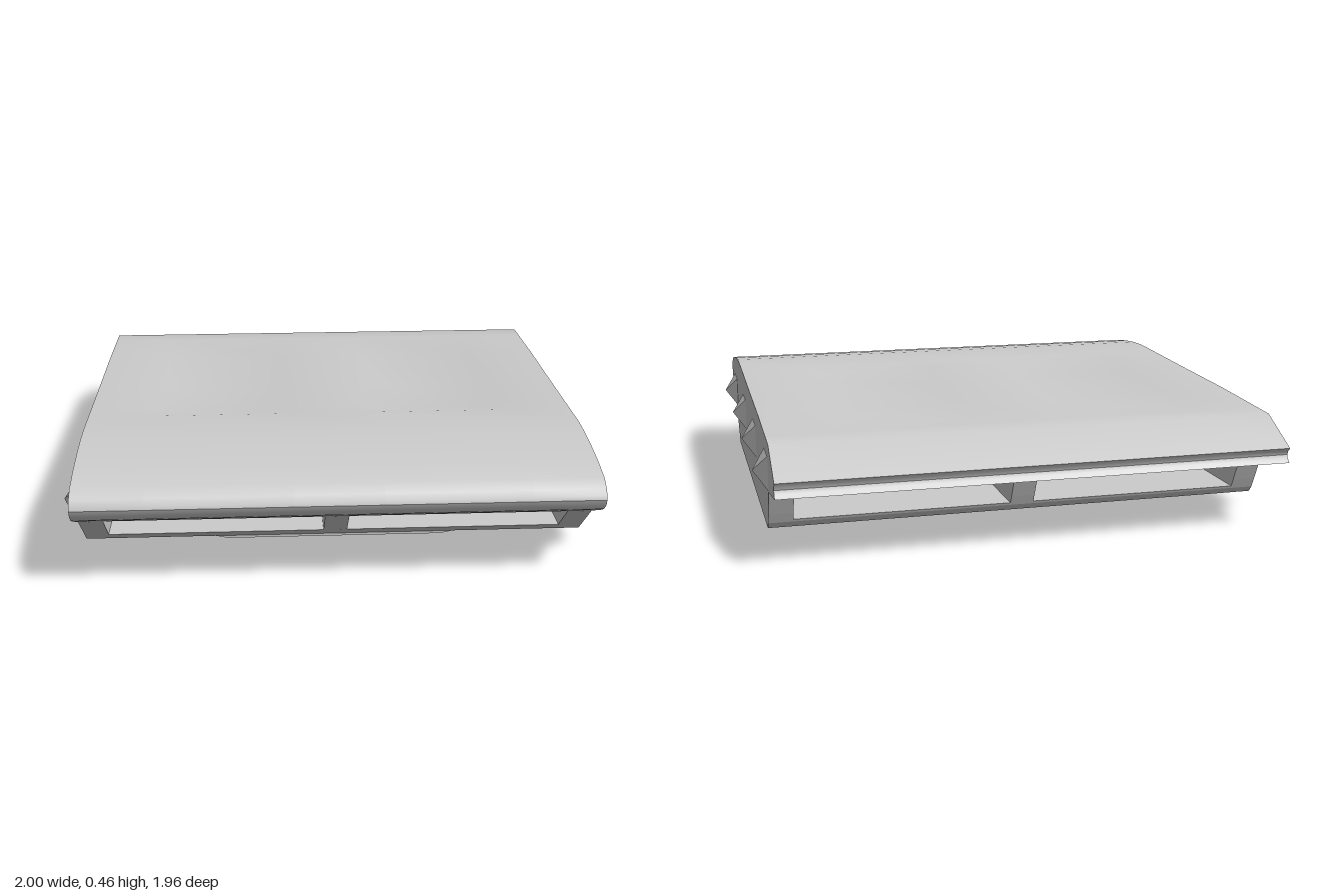
import * as THREE from 'three';
import { toCreasedNormals } from 'three/addons/utils/BufferGeometryUtils.js';

const HALF = 0.95; // half width of the hull
const grey = new THREE.MeshStandardMaterial({ color: 0xcccccc });
const greyFlat = new THREE.MeshStandardMaterial({ color: 0xcccccc, flatShading: true });
const greyDouble = new THREE.MeshStandardMaterial({ color: 0xcccccc, side: THREE.DoubleSide });

// Side profile as [z, y]: the top from tail to nose, then the underside back to the tail
const top = [
  [-0.98, 0.318], [-0.8, 0.41], [-0.7, 0.415], [-0.4, 0.43], [0, 0.443], [0.28, 0.453], [0.36, 0.456],
  [0.5, 0.461], [0.6, 0.458], [0.7, 0.449], [0.82, 0.432], [0.92, 0.41],
];
const under = [
  [0.96, 0.386], [0.977, 0.365], [0.982, 0.35], [0.973, 0.325], [0.95, 0.3], [0.91, 0.277], [0.8, 0.22],
  [-0.75, 0.225], [-0.98, 0.262], [-0.966, 0.277], [-0.962, 0.29], [-0.966, 0.303], [-0.98, 0.318],
];

// Two shallow ramped recesses deepen forward from REAR to FLOOR, then rise to FRONT
const REAR = -0.7, FLOOR = 0.28, FRONT = 0.36;
function recessAmount(z) {
  if (z <= REAR || z >= FRONT) return 0;
  return z <= FLOOR ? (z - REAR) / (FLOOR - REAR) : (FRONT - z) / (FRONT - FLOOR);
}

// One cross-section of the hull skin; recess walls widen as the floor sinks
function section([z, y], recessed) {
  const a = recessed ? recessAmount(z) : 0;
  const drop = 0.014 * a;
  const right = [[0.16, 0], [0.16 + 0.1 * a, drop], [0.69 - 0.07 * a, drop], [0.69, 0], [HALF, 0]];
  const left = right.map(([x, d]) => [-x, d]).reverse();
  return [...left, ...right].map(([x, d]) => [x, y - d, z]);
}

function skinGeometry() {
  const rows = [...top.map((p) => section(p, true)), ...under.map((p) => section(p, false))];
  const pos = [];
  for (let i = 0; i < rows.length - 1; i++) {
    for (let j = 0; j < rows[i].length - 1; j++) {
      const a = rows[i][j], b = rows[i + 1][j], c = rows[i + 1][j + 1], d = rows[i][j + 1];
      pos.push(...a, ...b, ...c, ...a, ...c, ...d);
    }
  }
  const g = new THREE.BufferGeometry();
  g.setAttribute('position', new THREE.Float32BufferAttribute(pos, 3));
  return toCreasedNormals(g, 0.55);
}

const shapeOf = (pts) => new THREE.Shape(pts.map(([z, y]) => new THREE.Vector2(z, y)));

// Extrudes a [z, y] outline across x, from x0 to x1
function slab(pts, x0, x1) {
  return new THREE.ExtrudeGeometry(shapeOf(pts), { depth: x1 - x0, bevelEnabled: false })
    .rotateY(-Math.PI / 2).translate(x1, 0, 0);
}

// Square pyramid pointing up, base centred on the origin
function pyramid(half, height) {
  return new THREE.ConeGeometry(half * Math.SQRT2, height, 4, 1, true)
    .rotateY(Math.PI / 4).translate(0, height / 2, 0);
}

export function createModel() {
  const model = new THREE.Group();
  model.name = 'hoverPlatform';
  const add = (name, geometry, material = grey, parent = model) => {
    const mesh = new THREE.Mesh(geometry, material);
    mesh.name = name;
    parent.add(mesh);
    return mesh;
  };

  // Wing-like upper deck with its two end faces
  add('deckSkin', skinGeometry());
  for (const s of [-1, 1]) {
    const cap = new THREE.ShapeGeometry(shapeOf([...top, ...under.slice(0, -1)]));
    cap.rotateY(-Math.PI / 2);
    if (s > 0) { // flip so the face looks outward
      const idx = cap.index.array;
      for (let i = 0; i < idx.length; i += 3) [idx[i], idx[i + 1]] = [idx[i + 1], idx[i]];
      cap.computeVertexNormals();
    }
    add(s > 0 ? 'leftDeckEnd' : 'rightDeckEnd', cap.translate(s * HALF, 0, 0), greyDouble);
  }

  // Three upright walls that leave two ducts open from front to back
  const wall = [[0.8, 0.222], [0.635, 0.066], [-0.67, 0.066], [-0.69, 0.09], [-0.71, 0.13], [-0.755, 0.226]];
  add('leftWall', slab(wall, 0.86, HALF));
  add('rightWall', slab(wall, -HALF, -0.86));
  add('middleWall', slab(wall, -0.045, 0.045));

  // Floor between the walls
  const floor = [[0.671, 0.1], [0.635, 0.066], [-0.67, 0.066], [-0.69, 0.09], [-0.695, 0.1]];
  add('floor', slab(floor, -0.86, 0.86));

  // Shallow plate under the floor, tapering to its sides and rear
  const plate = new THREE.BoxGeometry(1, 1, 1);
  const p = plate.attributes.position;
  for (let i = 0; i < p.count; i++) {
    const low = p.getY(i) < 0;
    p.setXYZ(i, Math.sign(p.getX(i)) * (low ? 0.41 : 0.47), low ? 0.054 : 0.067,
      p.getZ(i) > 0 ? 0.632 : low ? -0.57 : -0.67);
  }
  add('bellyPlate', plate, greyFlat);

  // Rows of studs along both sides
  const studs = new THREE.Group();
  studs.name = 'studs';
  model.add(studs);
  for (const s of [-1, 1]) {
    for (const z of [0.75, 0.27, -0.21, -0.69]) {
      const g = pyramid(0.063, 0.05).rotateZ(-s * Math.PI / 2).translate(s * HALF, 0.292, z);
      add('sideStud', g, greyFlat, studs);
    }
    // Studs under the belly
    for (const z of [0.27, -0.21]) {
      const g = pyramid(0.065, 0.054).rotateZ(Math.PI).translate(s * 0.24, 0.054, z);
      add('bellyStud', g, greyFlat, studs);
    }
  }
  return model;
}
